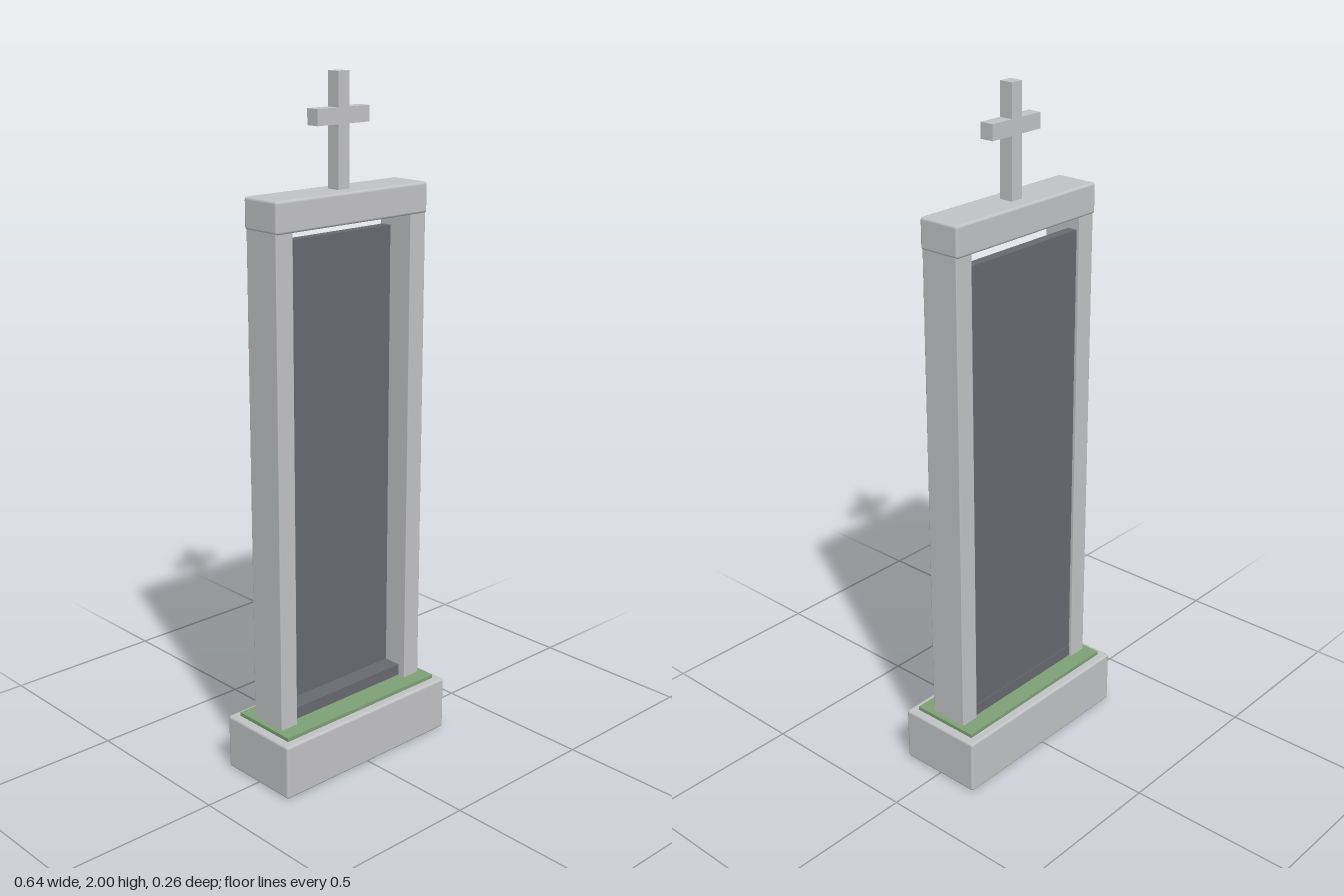
import * as THREE from 'three';
import { RoundedBoxGeometry } from 'three/addons/geometries/RoundedBoxGeometry.js';

export function createModel() {
  const group = new THREE.Group();
  const material = (name, color) => {
    const m = new THREE.MeshStandardMaterial({ color });
    m.name = name;
    return m;
  };
  const stone = material('pale stone', 0xc1c2c4);
  const slate = material('dark slate', 0x68696f);
  const moss = material('green trim', 0x7da076);

  // Box given by its min and max corners, optionally with rounded edges
  function block(name, mat, [x0, y0, z0], [x1, y1, z1], radius = 0) {
    const size = [x1 - x0, y1 - y0, z1 - z0];
    const geometry = radius
      ? new RoundedBoxGeometry(...size, 2, radius)
      : new THREE.BoxGeometry(...size);
    const mesh = new THREE.Mesh(geometry, mat);
    mesh.name = name;
    mesh.position.set((x0 + x1) / 2, (y0 + y1) / 2, (z0 + z1) / 2);
    group.add(mesh);
  }

  // Plinth with a green layer on top
  block('plinth', stone, [-0.319, 0, -0.133], [0.319, 0.165, 0.132], 0.008);
  block('greenLayer', moss, [-0.294, 0.16, -0.107], [0.294, 0.176, 0.106]);

  // Two upright posts carrying the lintel
  for (const side of [-1, 1]) {
    const a = side * 0.218, b = side * 0.277;
    block(side > 0 ? 'leftPost' : 'rightPost', stone,
      [Math.min(a, b), 0.17, -0.06], [Math.max(a, b), 1.61, 0.06], 0.003);
  }
  block('lintel', stone, [-0.279, 1.6, -0.066], [0.279, 1.688, 0.065], 0.008);

  // Dark slab set towards the back, standing on a sill
  block('slab', slate, [-0.219, 0.2, -0.05], [0.219, 1.563, -0.02]);
  block('sill', slate, [-0.219, 0.174, -0.052], [0.219, 0.211, 0.035]);

  // Cross
  block('crossUpright', stone, [-0.02, 1.68, -0.021], [0.02, 2, 0.02]);
  for (const side of [-1, 1]) {
    const a = side * 0.02, b = side * 0.094;
    block(side > 0 ? 'leftCrossArm' : 'rightCrossArm', stone,
      [Math.min(a, b), 1.862, -0.021], [Math.max(a, b), 1.906, 0.02]);
  }
  return group;
}
